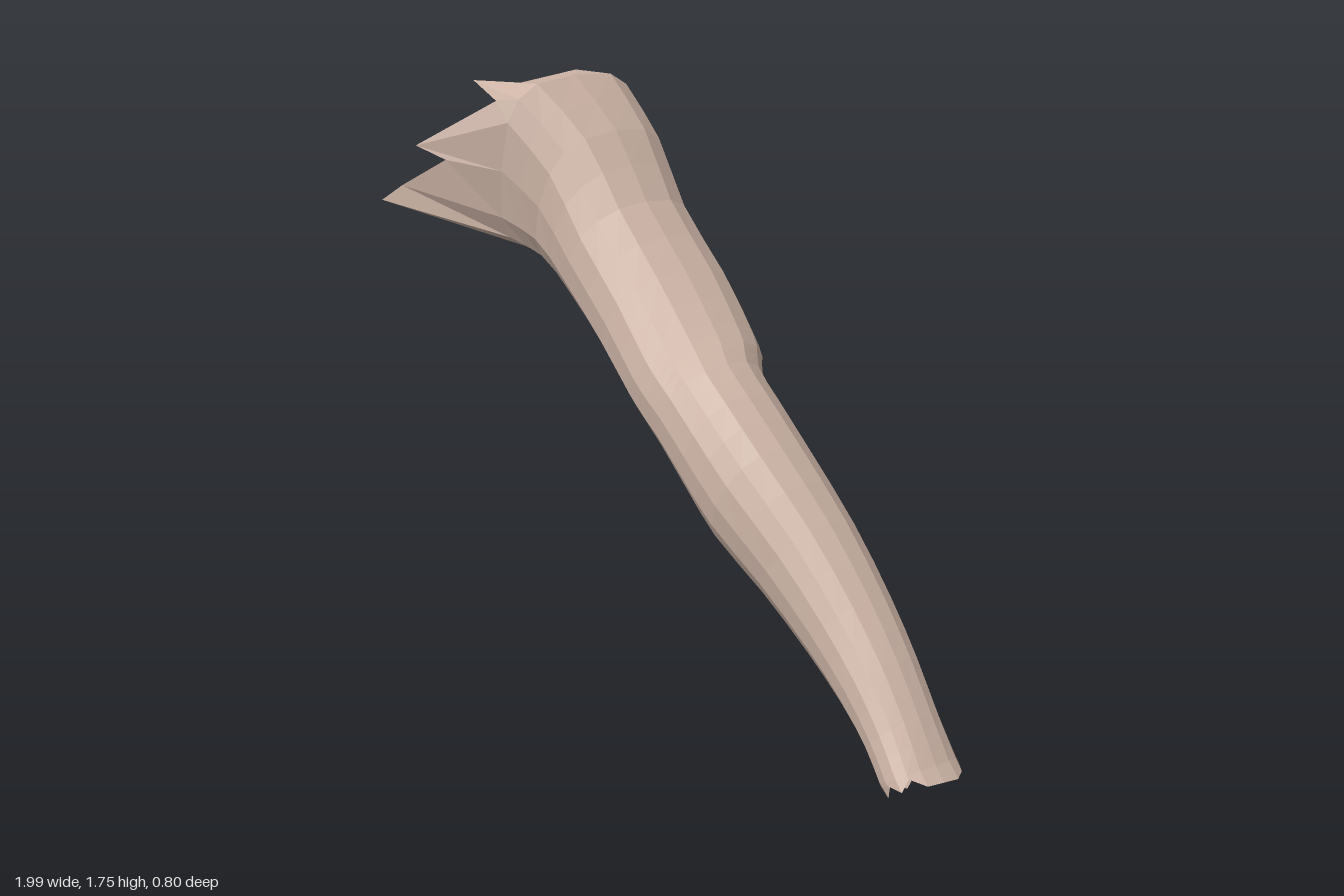
import * as THREE from 'three';

const SIDES = 16;

// Cross-sections, shoulder to wrist: upper x,y, lower x,y, back z, front z, roundness
const SECTIONS = [
  [-0.70, 1.77, -0.78, 1.23, -0.37, 0.12, 0.62],
  [-0.55, 1.62, -0.72, 1.18, -0.395, 0.06, 0.75],
  [-0.40, 1.43, -0.60, 1.10, -0.385, 0.05, 0.85],
  [-0.20, 1.26, -0.40, 0.97, -0.38, 0.06, 0.85],
  [-0.04, 1.14, -0.22, 0.85, -0.35, 0.085, 0.9],
  [0.02, 1.10, -0.14, 0.80, -0.325, 0.09, 0.9],
  [0.08, 1.06, -0.07, 0.76, -0.275, 0.09, 0.9],
  [0.18, 0.99, 0.05, 0.66, -0.265, 0.09, 0.9],
  [0.32, 0.87, 0.16, 0.55, -0.27, 0.075, 0.9],
  [0.50, 0.69, 0.32, 0.43, -0.28, 0.03, 0.9],
  [0.66, 0.51, 0.50, 0.30, -0.275, 0.0, 0.9],
  [0.78, 0.37, 0.64, 0.20, -0.26, -0.01, 0.9],
  [0.88, 0.24, 0.75, 0.11, -0.245, -0.01, 0.9],
  [0.96, 0.13, 0.82, 0.05, -0.24, 0.0, 0.85],
];

// Ragged shoulder edge: top flap, chest flap, armpit, back
const SHOULDER_RIM = [
  [-1.0, 1.70, -0.13], [-0.99, 1.73, 0.05], [-0.76, 1.71, 0.12], [-0.93, 1.57, 0.30],
  [-0.86, 1.53, 0.24], [-0.95, 1.45, 0.34], [-0.97, 1.41, 0.40], [-0.88, 1.34, 0.20],
  [-0.84, 1.29, 0.05], [-0.83, 1.27, -0.08], [-0.81, 1.28, -0.20], [-0.79, 1.37, -0.31],
  [-0.77, 1.48, -0.36], [-0.76, 1.60, -0.37], [-0.80, 1.72, -0.35], [-0.90, 1.74, -0.27],
];

// How far each strand runs past the wrist
const WRIST_TEETH = [0.05, 0.045, 0.01, 0.04, 0.01, 0.015, 0.05, 0.02,
  0.045, 0.01, 0.03, 0.02, 0.035, 0.02, 0.04, 0.055];

// Rounded-box power keeps the sign
const bend = (v, k) => Math.sign(v) * Math.pow(Math.abs(v), k);

// Point on a section; side 0 is the top, then front, bottom, back
function sectionPoint([ux, uy, lx, ly, back, front, k], side) {
  const t = (side / SIDES) * Math.PI * 2;
  const c = bend(Math.cos(t), k) / 2, s = bend(Math.sin(t), k) / 2;
  return new THREE.Vector3(
    (ux + lx) / 2 + (ux - lx) * c,
    (uy + ly) / 2 + (uy - ly) * c,
    (front + back) / 2 + (front - back) * s);
}

// Joins lengthwise strands of points into one open skin
function skin(strands) {
  const rows = strands[0].length;
  const positions = strands.flat().flatMap((p) => [p.x, p.y, p.z]);
  const index = [];
  for (let i = 0; i < strands.length; i++) {
    const n = (i + 1) % strands.length;
    for (let j = 0; j < rows - 1; j++) {
      const a = i * rows + j, b = n * rows + j;
      index.push(a, b, b + 1, a, b + 1, a + 1);
    }
  }
  const geometry = new THREE.BufferGeometry();
  geometry.setAttribute('position', new THREE.Float32BufferAttribute(positions, 3));
  geometry.setIndex(index);
  geometry.computeVertexNormals();
  return geometry;
}

export function createModel() {
  const group = new THREE.Group();
  group.name = 'arm';
  const skinTone = new THREE.MeshStandardMaterial({
    color: 0xcdb4a6, flatShading: true, side: THREE.DoubleSide });
  skinTone.name = 'skin tone';

  const sleeve = [], shoulder = [], wrist = [];
  for (let i = 0; i < SIDES; i++) {
    const curve = new THREE.CatmullRomCurve3(
      SECTIONS.map((s) => sectionPoint(s, i)), false, 'centripetal');
    const line = Array.from({ length: 27 }, (_, j) => curve.getPoint(j / 26));
    sleeve.push(line);
    shoulder.push([new THREE.Vector3(...SHOULDER_RIM[i]), line[0]]);
    const end = line[26];
    const tip = new THREE.Vector3(0.68, -0.73, 0).multiplyScalar(WRIST_TEETH[i]).add(end);
    wrist.push([end, tip]);
  }

  const parts = { armSkin: sleeve, shoulderEdge: shoulder, wristEdge: wrist };
  for (const [name, strands] of Object.entries(parts)) {
    const mesh = new THREE.Mesh(skin(strands), skinTone);
    mesh.name = name;
    group.add(mesh);
  }
  return group;
}
